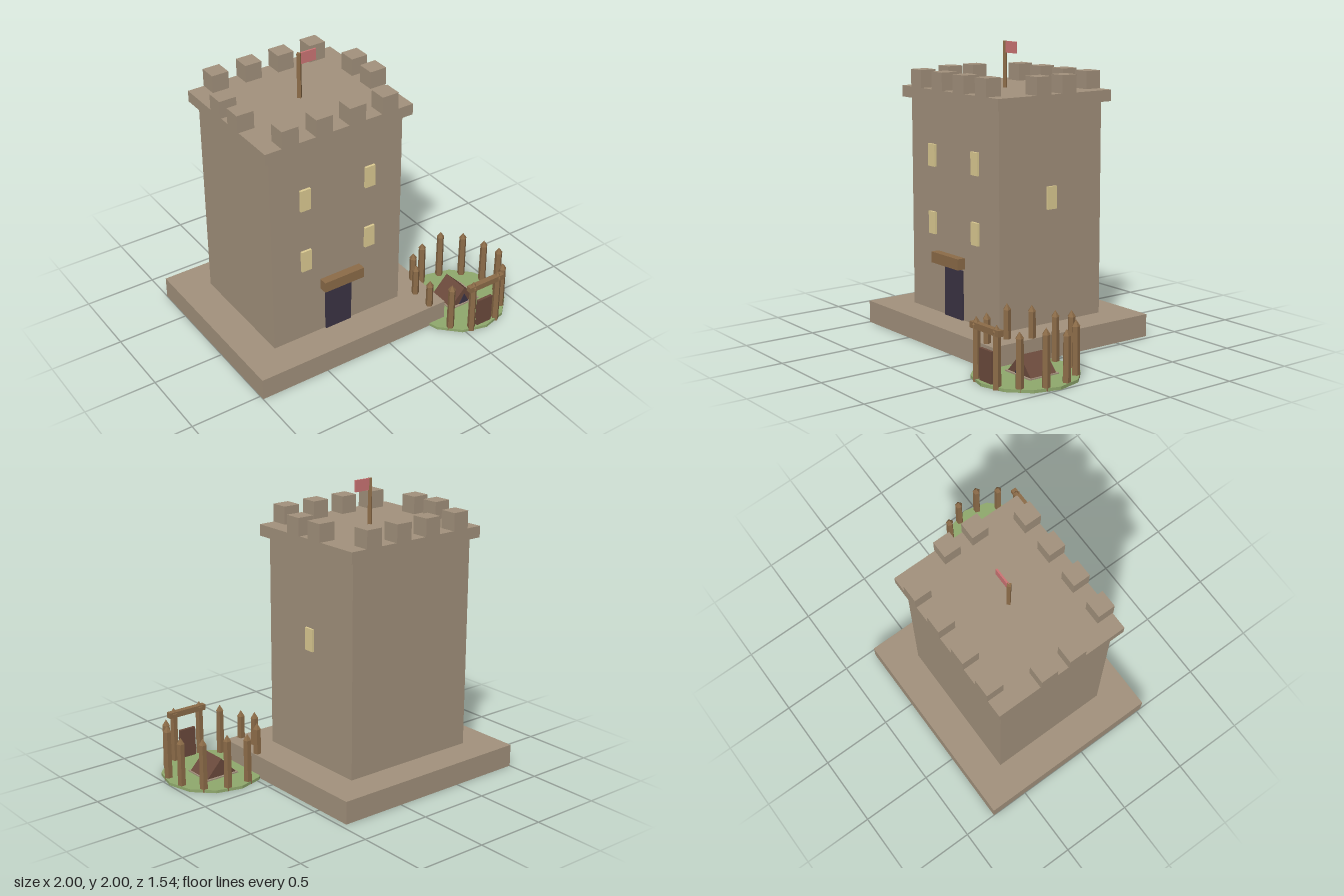
import * as THREE from 'three';

const mat = (color) => new THREE.MeshStandardMaterial({ color, flatShading: true });
const stone = mat(0xa2917c), wood = mat(0x8b6b48), glass = mat(0xdccb92), dark = mat(0x3b3344);
const brown = mat(0x6b4a3c), grass = mat(0x8fa86c), red = mat(0xcc7474);

export function createModel() {
  const model = new THREE.Group();

  const add = (name, geometry, material, x, y, z, parent = model) => {
    const mesh = new THREE.Mesh(geometry, material);
    mesh.name = name;
    mesh.position.set(x, y, z);
    parent.add(mesh);
    return mesh;
  };
  // Box given by its centre in x and z and its bottom in y
  const box = (name, material, w, h, d, x, y, z, parent) =>
    add(name, new THREE.BoxGeometry(w, h, d), material, x, y + h / 2, z, parent);

  // Tower, centred on its own origin
  const tower = new THREE.Group();
  tower.name = 'tower';
  tower.position.set(-0.27, 0, -0.118);
  model.add(tower);
  box('plinth', stone, 1.46, 0.155, 1.305, 0, 0, 0, tower);
  box('towerBody', stone, 0.995, 1.455, 0.85, 0, 0.155, 0, tower);
  box('parapet', stone, 1.09, 0.077, 0.94, 0, 1.61, 0, tower);

  // Battlements: four on the front and back, two on each side
  for (const s of [-1, 1]) {
    for (let i = 0; i < 4; i++)
      box('merlon', stone, 0.12, 0.12, 0.12, (i - 1.5) * 0.245, 1.687, s * 0.415, tower);
    for (const z of [-0.105, 0.105])
      box('merlon', stone, 0.12, 0.12, 0.12, s * 0.493, 1.687, z, tower);
  }

  // Flag
  add('flagpole', new THREE.CylinderGeometry(0.018, 0.018, 0.315, 4), wood, 0, 1.8425, 0, tower);
  box('flag', red, 0.125, 0.078, 0.012, 0.063, 1.922, 0, tower);

  // Windows, door and awning
  for (const x of [-0.245, 0.245])
    for (const y of [0.695, 1.16])
      box('frontWindow', glass, 0.075, 0.153, 0.03, x, y, 0.427, tower);
  box('sideWindow', glass, 0.03, 0.153, 0.075, 0.497, 0.927, 0, tower);
  box('door', dark, 0.2, 0.34, 0.03, 0, 0.155, 0.424, tower);
  box('doorAwning', wood, 0.305, 0.075, 0.058, 0, 0.52, 0.481, tower);

  // Round fenced yard
  const yard = new THREE.Group();
  yard.name = 'yard';
  yard.position.set(0.652, 0, 0.422);
  model.add(yard);
  add('grass', new THREE.CylinderGeometry(0.346, 0.346, 0.02, 12), grass, 0, 0.01, 0, yard);

  const post = (name, x, z, height) => {
    const tip = 0.042, g = new THREE.Group();
    g.name = name;
    g.position.set(x, 0, z);
    yard.add(g);
    add('stake', new THREE.CylinderGeometry(0.025, 0.028, height - tip, 5), wood, 0, (height - tip) / 2, 0, g);
    add('stakeTip', new THREE.ConeGeometry(0.028, tip, 5), wood, 0, height - tip / 2, 0, g);
  };
  for (let i = 0; i < 12; i++) {
    if (i === 2 || i === 3) continue; // gap for the gate
    const a = (15 + 30 * i) * Math.PI / 180;
    post('fencePost', Math.cos(a) * 0.31, Math.sin(a) * 0.31, 0.39 - 0.0175 * (i % 3));
  }

  // Gate
  for (const s of [-1, 1]) post('gatePost', s * 0.104, 0.303, 0.403);
  box('gateBeam', wood, 0.29, 0.04, 0.04, 0, 0.335, 0.303, yard);
  box('gateDoor', brown, 0.122, 0.205, 0.02, 0, 0.02, 0.303, yard);

  // Tent on a low stone pad
  const prism = (w, h, d) => {
    const s = new THREE.Shape([[-w / 2, 0], [w / 2, 0], [0, h]].map(([x, y]) => new THREE.Vector2(x, y)));
    return new THREE.ExtrudeGeometry(s, { depth: d, bevelEnabled: false });
  };
  box('tentPad', stone, 0.25, 0.012, 0.23, 0.018, 0.016, -0.035, yard);
  add('tent', prism(0.23, 0.122, 0.2), brown, 0.018, 0.028, -0.135, yard);
  add('tentOpening', prism(0.08, 0.075, 0.006), dark, 0.018, 0.028, 0.064, yard);

  return model;
}
